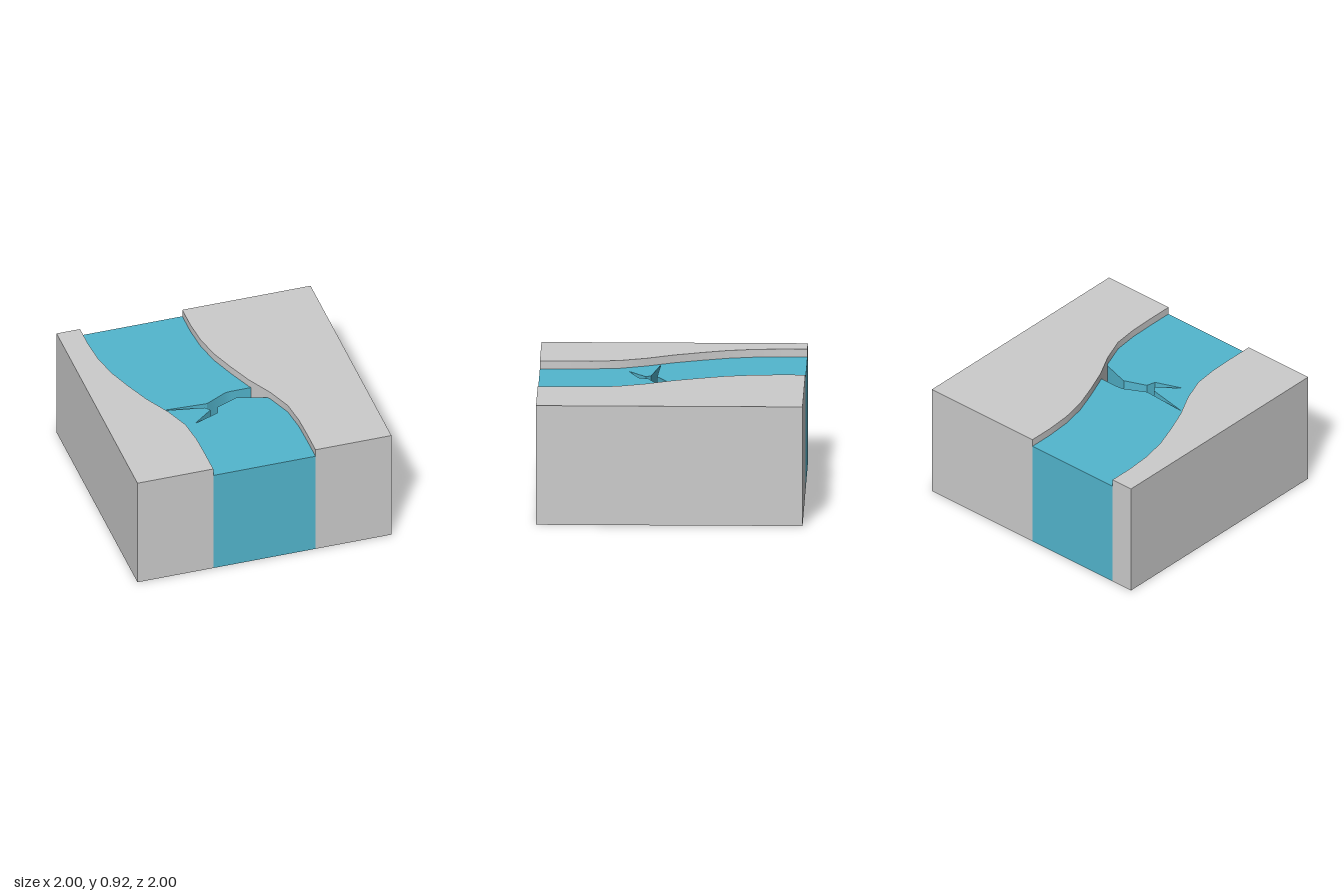
import * as THREE from 'three';
import { toCreasedNormals } from 'three/addons/utils/BufferGeometryUtils.js';

const BANK_TOP = 0.92, WATER_TOP = 0.86, GULLY_FLOOR = 0.71, POOL_FLOOR = 0.5;
const RIVER_WIDTH = 0.805;

export function createModel() {
  const stone = new THREE.MeshStandardMaterial({ color: 0xcccccc });
  stone.name = 'bank grey';
  const water = new THREE.MeshStandardMaterial({ color: 0x53b6ce, side: THREE.DoubleSide });
  water.name = 'river blue';
  const group = new THREE.Group();
  group.name = 'riverBlock';

  const add = (name, geometry, material) => {
    const mesh = new THREE.Mesh(geometry, material);
    mesh.name = name;
    group.add(mesh);
  };
  // Plan outlines are [x, z] pairs, raised from y0 to y1
  const plan = (pts) => new THREE.Shape(pts.map(([x, z]) => new THREE.Vector2(x, -z)));
  const prism = (name, pts, y0, y1, material) => {
    const g = new THREE.ExtrudeGeometry(plan(pts), { depth: y1 - y0, bevelEnabled: false });
    g.rotateX(-Math.PI / 2).translate(0, y0, 0);
    add(name, toCreasedNormals(g, 0.5), material);
  };

  // River edges, from back to front
  const edgeX = [-0.815, -0.815, -0.8, -0.76, -0.69, -0.61, -0.505, -0.43, -0.407, -0.403, -0.403];
  const leftEdge = edgeX.map((x, i) => [x, -1 + i * 0.2]);
  const rightEdge = leftEdge.map(([x, z]) => [x + RIVER_WIDTH, z]);
  const backToLeft = [...leftEdge].reverse();

  // Banks
  prism('rightBank', [[-1, -1], ...leftEdge, [-1, 1]], 0, BANK_TOP, stone);
  prism('leftBank', [[1, -1], ...rightEdge, [1, 1]], 0, BANK_TOP, stone);

  // Forked gully cut into the river from one bank
  const gullyBack = [[0.05, 0.02], [0, 0.025], [-0.17, 0.115], [-0.54, 0.095]];
  const gullyFront = [[-0.2, 0.16], [-0.17, 0.2], [-0.335, 0.33], [-0.13, 0.25], [-0.11, 0.18], [0.06, 0.11]];
  const notch = [[0.205, 0.02], ...gullyBack, ...gullyFront, [0.18, 0.145], [0.286, 0.18]];

  // River body and its notched upper layer
  prism('riverBase', [...rightEdge, ...backToLeft], 0, POOL_FLOOR, water);
  prism('riverSurface', [...rightEdge.slice(0, 6), ...notch, ...rightEdge.slice(6), ...backToLeft],
    POOL_FLOOR, WATER_TOP, water);

  // Flat floor of the gully
  const floor = new THREE.ShapeGeometry(plan([...gullyBack, ...gullyFront]));
  floor.rotateX(-Math.PI / 2).translate(0, GULLY_FLOOR, 0);
  add('gullyFloor', floor, water);

  // Rounded drop at the bank end, lofted from straight sections
  const steps = 10, positions = [], index = [];
  for (let i = 0; i <= steps; i++) {
    const a = (i / steps) * Math.PI / 2, t = Math.sin(a);
    const y = POOL_FLOOR + (GULLY_FLOOR - POOL_FLOOR) * Math.cos(a);
    positions.push(0.05 + 0.07 * t, y, 0.02, 0.06 + 0.12 * t, y, 0.11 + 0.035 * t);
    if (i < steps) {
      const k = i * 2;
      index.push(k, k + 1, k + 2, k + 1, k + 3, k + 2);
    }
  }
  const drop = new THREE.BufferGeometry();
  drop.setAttribute('position', new THREE.Float32BufferAttribute(positions, 3));
  drop.setIndex(index);
  drop.computeVertexNormals();
  add('gullyDrop', drop, water);

  return group;
}
